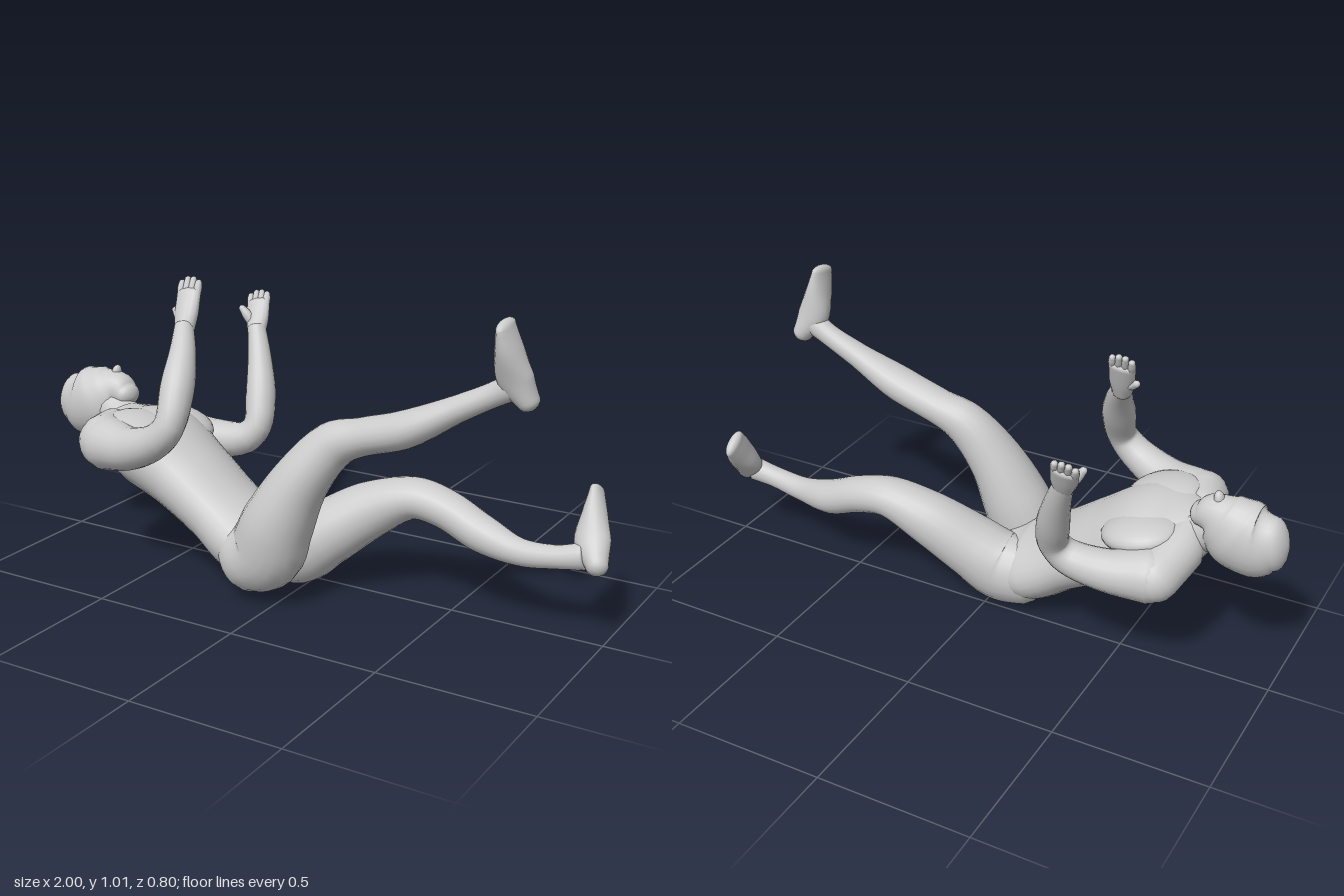
import * as THREE from 'three';

const material = new THREE.MeshStandardMaterial({ color: 0xcccccc, roughness: 0.8 });
const Z = new THREE.Vector3(0, 0, 1);
const X = new THREE.Vector3(1, 0, 0);

// Smooth limb through sections [x, y, z, halfWidth, halfDepth], rounded at both ends.
// "side" is the direction of the half width.
function loft(name, sections, side = Z, caps = [1, 1], sides = 20, steps = 5) {
  const path = new THREE.CatmullRomCurve3(sections.map(s => new THREE.Vector3(s[0], s[1], s[2])));
  const size = new THREE.CatmullRomCurve3(sections.map(s => new THREE.Vector3(s[3], s[4] ?? s[3], 0)));
  const positions = [], index = [];
  const n = (sections.length - 1) * steps;

  const ring = (t, scale, shift) => {
    const tangent = path.getTangent(t);
    const u = side.clone().addScaledVector(tangent, -side.dot(tangent)).normalize();
    const v = tangent.clone().cross(u);
    const r = size.getPoint(t);
    const c = path.getPoint(t).addScaledVector(tangent, shift * Math.min(r.x, r.y));
    for (let j = 0; j < sides; j++) {
      const a = (j / sides) * Math.PI * 2;
      const p = c.clone()
        .addScaledVector(u, Math.cos(a) * r.x * scale)
        .addScaledVector(v, Math.sin(a) * r.y * scale);
      positions.push(p.x, p.y, p.z);
    }
  };

  const K = 5;
  const capScale = k => Math.max(Math.cos((k / K) * Math.PI / 2), 0.002);
  const capShift = k => Math.sin((k / K) * Math.PI / 2);
  for (let k = K; k > 0; k--) ring(0, capScale(k), -capShift(k) * caps[0]);
  for (let i = 0; i <= n; i++) ring(i / n, 1, 0);
  for (let k = 1; k <= K; k++) ring(1, capScale(k), capShift(k) * caps[1]);

  const rings = n + 1 + 2 * K;
  for (let i = 0; i < rings - 1; i++) {
    for (let j = 0; j < sides; j++) {
      const a = i * sides + j, b = i * sides + (j + 1) % sides;
      index.push(a, b, a + sides, b, b + sides, a + sides);
    }
  }
  const g = new THREE.BufferGeometry();
  g.setAttribute('position', new THREE.Float32BufferAttribute(positions, 3));
  g.setIndex(index);
  g.computeVertexNormals();
  const mesh = new THREE.Mesh(g, material);
  mesh.name = name;
  return mesh;
}

function ellipsoid(name, center, radii, tilt = 0) {
  const mesh = new THREE.Mesh(new THREE.SphereGeometry(1, 24, 16), material);
  mesh.name = name;
  mesh.position.set(...center);
  mesh.scale.set(...radii);
  mesh.rotation.z = tilt;
  return mesh;
}

// Palm, four closed fingers and a thumb between a wrist and a fingertip point
function hand(name, wrist, tip, thumbTip) {
  const group = new THREE.Group();
  group.name = name;
  const w = new THREE.Vector3(...wrist), t = new THREE.Vector3(...tip);
  const dir = t.clone().sub(w);
  const across = X.clone().addScaledVector(dir, -X.dot(dir) / dir.lengthSq()).normalize();
  const at = (f, s) => w.clone().addScaledVector(dir, f).addScaledVector(across, s).toArray();
  group.add(loft('palm', [
    [...at(-0.1, 0), 0.032, 0.029],
    [...at(0.25, 0), 0.042, 0.027],
    [...at(0.65, 0), 0.044, 0.021],
  ], X, [0.5, 0.8], 14, 4));
  [0.92, 0.98, 0.97, 0.9].forEach((reach, i) => {
    const s = (i - 1.5) * 0.021;
    group.add(loft('finger', [
      [...at(0.6, s * 0.95), 0.013],
      [...at(0.75, s), 0.0135],
      [...at(reach - 0.06, s), 0.011],
    ], X, [1, 1], 8, 3));
  });
  const root = new THREE.Vector3(...at(0.15, -0.015));
  const end = new THREE.Vector3(...thumbTip);
  group.add(loft('thumb', [
    [...root.toArray(), 0.02],
    [...root.clone().lerp(end, 0.55).toArray(), 0.018],
    [...end.toArray(), 0.012],
  ], X, [1, 1], 8, 3));
  return group;
}

export function createModel() {
  const model = new THREE.Group();
  model.name = 'recliningFigure';

  // Torso from pelvis to the base of the neck
  model.add(loft('torso', [
    [-0.07, 0.14, 0.14, 0.165, 0.1],
    [-0.15, 0.16, 0.135, 0.183, 0.12],
    [-0.27, 0.232, 0.125, 0.17, 0.113],
    [-0.42, 0.325, 0.11, 0.18, 0.126],
    [-0.55, 0.395, 0.1, 0.208, 0.138],
    [-0.64, 0.425, 0.095, 0.19, 0.112],
    [-0.7, 0.45, 0.085, 0.12, 0.08],
  ], new THREE.Vector3(0, 0.17, 1).normalize(), [0.6, 0.4], 28));
  model.add(ellipsoid('frontChestMuscle', [-0.55, 0.478, 0.2], [0.13, 0.06, 0.125], -0.2));
  model.add(ellipsoid('backChestMuscle', [-0.55, 0.448, 0.0], [0.13, 0.055, 0.115], -0.2));
  model.add(loft('shoulders', [
    [-0.64, 0.375, -0.11, 0.082, 0.08],
    [-0.675, 0.42, 0.01, 0.078, 0.08],
    [-0.685, 0.44, 0.09, 0.078, 0.08],
    [-0.675, 0.45, 0.18, 0.078, 0.08],
    [-0.64, 0.45, 0.28, 0.085, 0.09],
  ], X));

  // Neck and head
  model.add(loft('neck', [
    [-0.69, 0.45, 0.083, 0.076, 0.074],
    [-0.735, 0.47, 0.07, 0.067, 0.066],
    [-0.79, 0.495, 0.055, 0.064, 0.07],
  ], Z, [0.4, 0.4]));
  model.add(loft('head', [
    [-0.95, 0.497, 0.05, 0.066, 0.09],
    [-0.9, 0.49, 0.05, 0.087, 0.119],
    [-0.845, 0.503, 0.05, 0.09, 0.122],
    [-0.79, 0.532, 0.046, 0.074, 0.101],
    [-0.755, 0.547, 0.045, 0.057, 0.068],
    [-0.72, 0.54, 0.05, 0.046, 0.04],
  ], Z, [0.7, 0.8], 24));
  model.add(ellipsoid('nose', [-0.775, 0.608, 0.037], [0.016, 0.028, 0.019], -0.2));

  // Raised leg with its buttock, on the +z side
  model.add(loft('frontLeg', [
    [-0.11, 0.138, 0.237, 0.103, 0.115],
    [-0.04, 0.175, 0.238, 0.11, 0.126],
    [0.005, 0.275, 0.238, 0.116, 0.116],
    [0.08, 0.425, 0.222, 0.097, 0.09],
    [0.18, 0.55, 0.195, 0.072, 0.074],
    [0.28, 0.592, 0.187, 0.066, 0.059],
    [0.42, 0.637, 0.187, 0.067, 0.058],
    [0.58, 0.72, 0.168, 0.045, 0.041],
    [0.69, 0.778, 0.157, 0.036, 0.037],
    [0.75, 0.812, 0.157, 0.037, 0.042],
  ], Z, [0.8, 0.2]));
  model.add(loft('frontFoot', [
    [0.787, 0.772, 0.148, 0.038, 0.035],
    [0.752, 0.835, 0.163, 0.044, 0.056],
    [0.738, 0.92, 0.183, 0.054, 0.039],
    [0.73, 0.988, 0.195, 0.052, 0.021],
  ], new THREE.Vector3(0, -0.2, 1), [0.9, 1]));

  // Lower leg with its buttock, on the -z side
  model.add(loft('backLeg', [
    [-0.12, 0.125, 0.062, 0.1, 0.115],
    [-0.03, 0.13, 0.056, 0.108, 0.124],
    [0.06, 0.185, 0.035, 0.108, 0.109],
    [0.2, 0.28, -0.012, 0.092, 0.092],
    [0.34, 0.337, -0.037, 0.076, 0.067],
    [0.45, 0.32, -0.042, 0.068, 0.062],
    [0.58, 0.268, -0.032, 0.062, 0.06],
    [0.72, 0.244, -0.006, 0.042, 0.043],
    [0.84, 0.256, 0, 0.036, 0.037],
    [0.92, 0.272, -0.008, 0.038, 0.042],
  ], Z, [0.8, 0.2]));
  model.add(loft('backFoot', [
    [0.968, 0.258, 0.006, 0.038, 0.035],
    [0.935, 0.312, -0.038, 0.044, 0.056],
    [0.919, 0.385, -0.092, 0.053, 0.037],
    [0.908, 0.435, -0.13, 0.05, 0.021],
  ], new THREE.Vector3(0, 0.6, 0.8), [0.9, 1]));

  // Arms, bent at the elbow with raised forearms
  model.add(loft('frontArm', [
    [-0.62, 0.448, 0.285, 0.09],
    [-0.5, 0.46, 0.322, 0.07],
    [-0.375, 0.515, 0.345, 0.055],
    [-0.33, 0.57, 0.338, 0.05],
    [-0.338, 0.675, 0.28, 0.055],
    [-0.365, 0.77, 0.21, 0.043],
    [-0.4, 0.84, 0.15, 0.031],
  ], Z, [0.9, 0.3]));
  model.add(hand('frontHand', [-0.4, 0.84, 0.145], [-0.427, 0.988, 0.066], [-0.458, 0.88, 0.115]));

  model.add(loft('backArm', [
    [-0.62, 0.373, -0.108, 0.088],
    [-0.5, 0.37, -0.14, 0.068],
    [-0.375, 0.388, -0.152, 0.056],
    [-0.335, 0.435, -0.17, 0.05],
    [-0.348, 0.525, -0.212, 0.052],
    [-0.385, 0.64, -0.265, 0.042],
    [-0.425, 0.74, -0.31, 0.031],
  ], Z, [0.9, 0.3]));
  model.add(hand('backHand', [-0.425, 0.735, -0.31], [-0.465, 0.855, -0.39], [-0.485, 0.8, -0.31]));

  return model;
}
